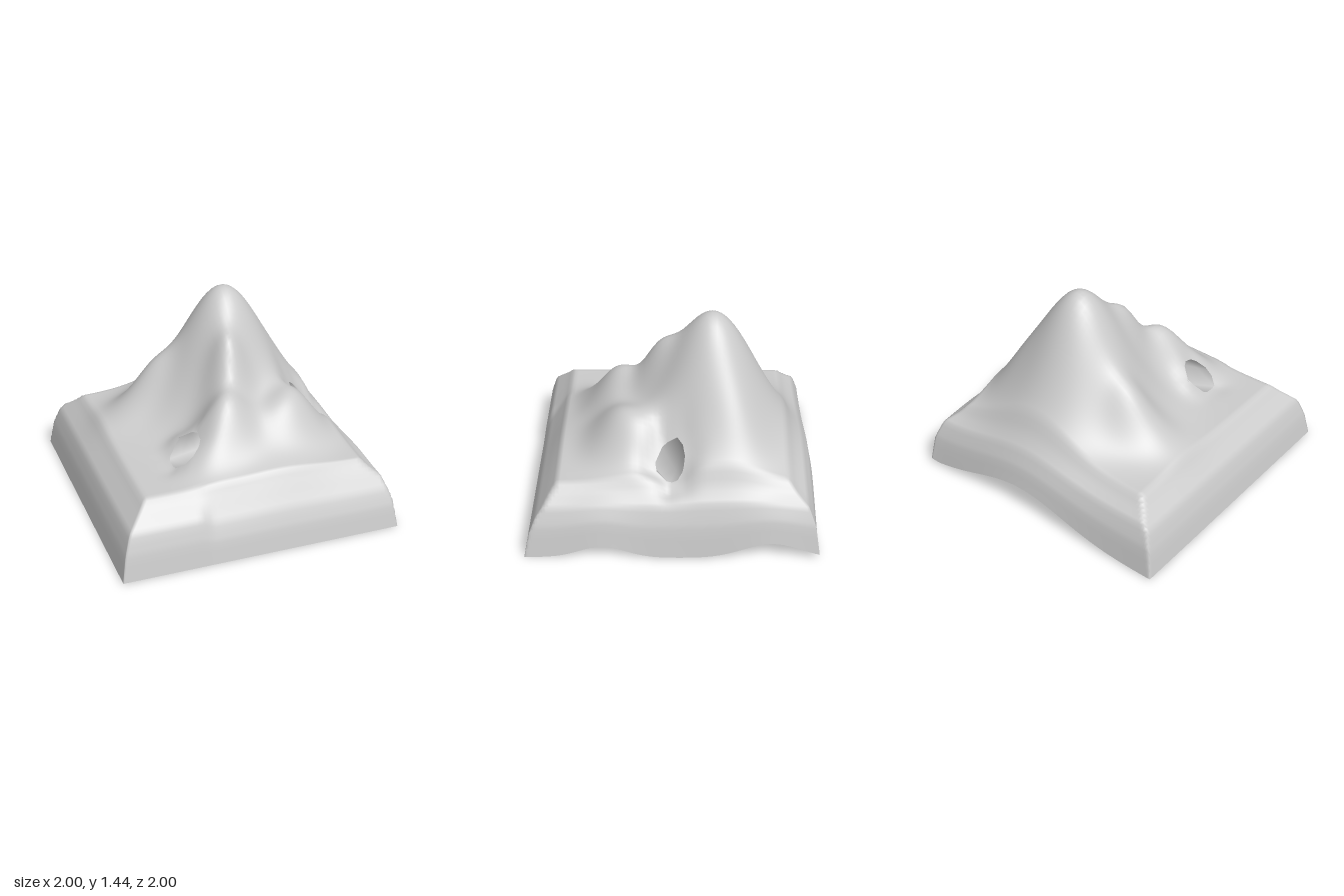
import * as THREE from 'three';

const bell = (dx, dz, s) => Math.exp(-(dx * dx + dz * dz) / (s * s));

// Hills: x, z, height, spread
const HILLS = [
  [0.16, -0.27, 0.97, 0.43],
  [0.06, 0.11, 0.22, 0.14],
  [-0.05, 0.38, 0.31, 0.2],
  [-0.25, 0.52, 0.12, 0.18],
  [0.48, 0.36, 0.19, 0.2],
  [0.3, 0.42, 0.09, 0.17],
  [0.55, 0.2, 0.08, 0.17],
  [0.2, 0.55, 0.06, 0.3],
  [0.58, -0.45, 0.1, 0.2],
  [-0.34, -0.37, 0.14, 0.16],
  [-0.52, -0.33, 0.1, 0.2],
];

// Tunnel mouths, paired corner by corner
const MOUTH_A = [[-0.27, 0.68, 0.37], [-0.27, 0.65, 0.48], [-0.38, 0.55, 0.555],
  [-0.47, 0.48, 0.49], [-0.47, 0.49, 0.37], [-0.37, 0.6, 0.29]];
const MOUTH_B = [[0.59, 0.72, -0.06], [0.59, 0.65, 0.06], [0.7, 0.53, 0.13],
  [0.77, 0.45, 0.02], [0.76, 0.48, -0.06], [0.69, 0.6, -0.09]];

// Wavy lower edge on the right and back sides
function bottom(x, z) {
  const right = 0.09 * bell(z - 0.47, 0, 0.22) + 0.12 * bell(z + 0.68, 0, 0.28);
  const back = 0.2 * bell(x - 0.15, 0, 0.55);
  return Math.max(right * Math.max(0, 2 * x - 1), back * Math.max(0, -2 * z - 1));
}

// Skirt profiles: inset from the outer edge, share of the full height
const SOFT = [[0, 0], [0.03, 0.37], [0.075, 0.66], [0.18, 0.88], [0.23, 1]];
const STEEP = [[0, 0], [0.03, 0.45], [0.08, 0.74], [0.16, 0.88], [0.21, 1]];
const SLOPED = [[0, 0], [0.03, 0.33], [0.075, 0.57], [0.16, 0.83], [0.22, 1]];
function skirt(inset, profile) {
  for (let i = 1; i < profile.length; i++) {
    const [d0, f0] = profile[i - 1], [d1, f1] = profile[i];
    if (inset < d1) return f0 + (f1 - f0) * (inset - d0) / (d1 - d0);
  }
  return 1;
}

function height(x, z) {
  let h = 0.47;
  for (const [hx, hz, a, s] of HILLS) h += a * bell(x - hx, z - hz, s);
  const front = THREE.MathUtils.lerp(skirt(1 - z, SOFT), skirt(1 - z, SLOPED),
    THREE.MathUtils.smoothstep(x, -0.43, -0.33));
  const f = Math.min(skirt(1 + x, SOFT), skirt(1 - x, STEEP), front, skirt(1 + z, STEEP));
  const b = bottom(x, z);
  return b + (h - b) * f;
}

// Nearest rim point of a mouth, its distance, and whether (x, z) is inside
function nearestOnRim(x, z, rim) {
  let inside = false, point = null, dist = Infinity;
  rim.forEach((a, i) => {
    const b = rim[(i + 1) % rim.length];
    if ((a[2] > z) !== (b[2] > z) && x < a[0] + (b[0] - a[0]) * (z - a[2]) / (b[2] - a[2])) inside = !inside;
    const dx = b[0] - a[0], dz = b[2] - a[2];
    const t = THREE.MathUtils.clamp(((x - a[0]) * dx + (z - a[2]) * dz) / (dx * dx + dz * dz), 0, 1);
    const p = a.map((v, k) => v + (b[k] - v) * t);
    const d = Math.hypot(p[0] - x, p[2] - z);
    if (d < dist) { dist = d; point = p; }
  });
  return { inside, point, dist };
}

function buildGeometry(pos, index) {
  const g = new THREE.BufferGeometry();
  g.setAttribute('position', new THREE.Float32BufferAttribute(pos, 3));
  g.setIndex(index);
  g.computeVertexNormals();
  return g;
}

// Open shell of the landscape, with the mouths cut out and the ground eased to their rims
function terrainGeometry() {
  const N = 80, pos = [], index = [], cut = [];
  const coord = (i) => { const t = 2 * i / N - 1; return 1.35 * t - 0.35 * t ** 3; };
  for (let j = 0; j <= N; j++) {
    for (let i = 0; i <= N; i++) {
      const x = coord(i), z = coord(j);
      let p = [x, height(x, z), z], inHole = false;
      for (const rim of [MOUTH_A, MOUTH_B]) {
        const { inside, point, dist } = nearestOnRim(x, z, rim);
        if (inside) {
          p = point;
          inHole = true;
        } else {
          p[1] += (point[1] - height(point[0], point[2])) * bell(dist, 0, 0.09);
        }
      }
      cut.push(inHole);
      pos.push(...p);
    }
  }
  const tri = (a, b, c) => { if (!(cut[a] && cut[b] && cut[c])) index.push(a, b, c); };
  for (let j = 0; j < N; j++) {
    for (let i = 0; i < N; i++) {
      const a = j * (N + 1) + i, c = a + N + 1;
      tri(a, c, a + 1);
      tri(a + 1, c, c + 1);
    }
  }
  return buildGeometry(pos, index);
}

// Tunnel wall lofted from one mouth to the other, wider in the middle
function tunnelGeometry() {
  const rings = 10, n = MOUTH_A.length, pos = [], index = [];
  for (let r = 0; r <= rings; r++) {
    const t = r / rings, swell = 1 + 0.4 * Math.sin(Math.PI * t);
    const ring = MOUTH_A.map((a, k) => new THREE.Vector3(...a).lerp(new THREE.Vector3(...MOUTH_B[k]), t));
    const centre = ring.reduce((sum, p) => sum.addScaledVector(p, 1 / n), new THREE.Vector3());
    ring.forEach((p) => pos.push(...p.sub(centre).multiplyScalar(swell).add(centre).toArray()));
  }
  for (let r = 0; r < rings; r++) {
    for (let k = 0; k < n; k++) {
      const a = r * n + k, b = r * n + (k + 1) % n;
      index.push(a, b, a + n, b, b + n, a + n);
    }
  }
  return buildGeometry(pos, index);
}

export function createModel() {
  const group = new THREE.Group();
  group.name = 'mountain';
  const material = new THREE.MeshStandardMaterial({ color: 0xcccccc, side: THREE.DoubleSide });
  const add = (name, geometry) => {
    const mesh = new THREE.Mesh(geometry, material);
    mesh.name = name;
    group.add(mesh);
  };
  add('terrain', terrainGeometry());
  add('tunnel', tunnelGeometry());
  return group;
}
